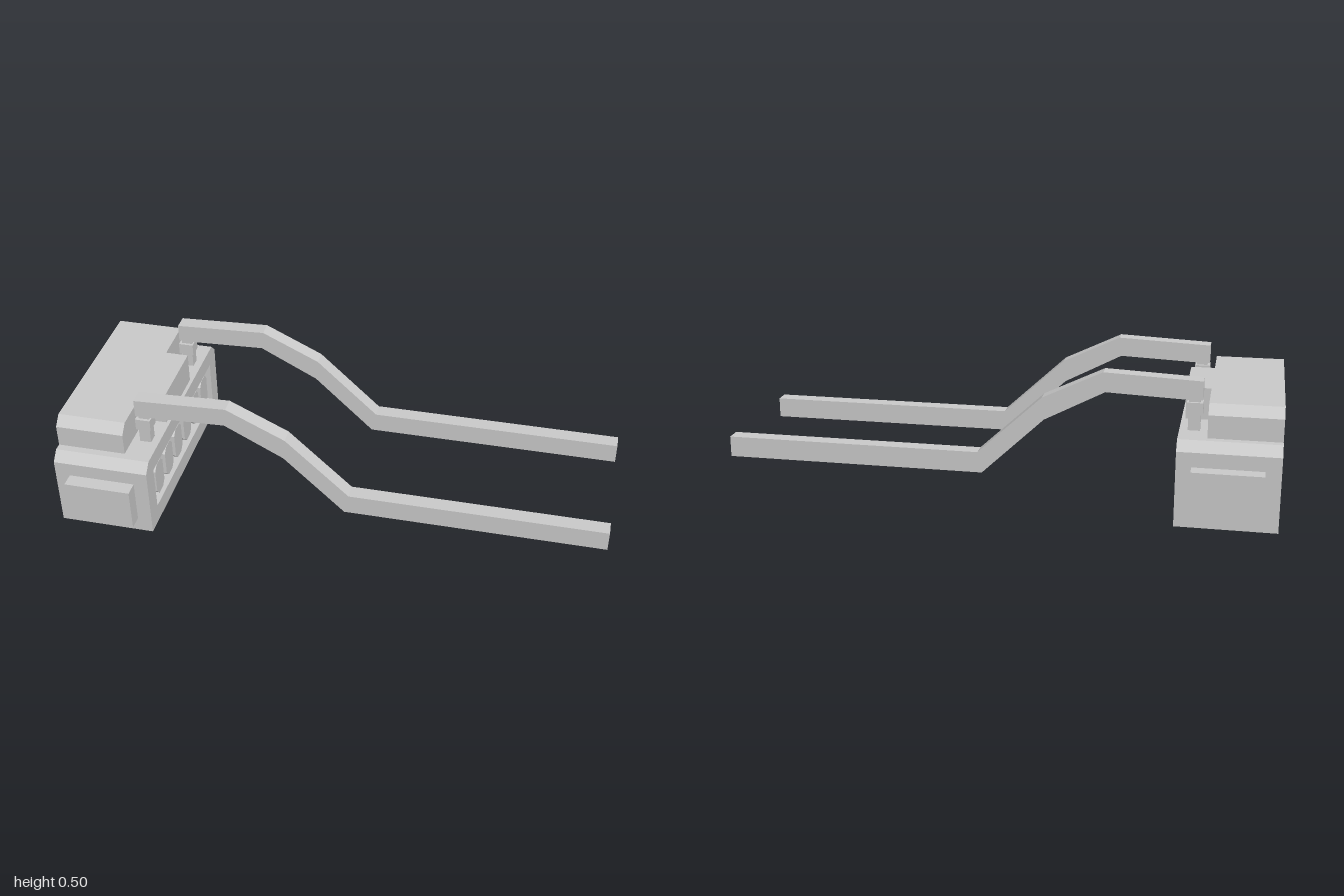
import * as THREE from 'three';

const material = new THREE.MeshStandardMaterial({ color: 0xcccccc, flatShading: true });

function polygon(points) {
  return new THREE.Shape(points.map(([x, y]) => new THREE.Vector2(x, y)));
}

function add(parent, name, geometry) {
  const mesh = new THREE.Mesh(geometry, material);
  mesh.name = name;
  parent.add(mesh);
  return mesh;
}

// Box given by its min and max on each axis
function addBox(parent, name, [x0, x1], [y0, y1], [z0, z1]) {
  const mesh = add(parent, name, new THREE.BoxGeometry(x1 - x0, y1 - y0, z1 - z0));
  mesh.position.set((x0 + x1) / 2, (y0 + y1) / 2, (z0 + z1) / 2);
  return mesh;
}

// Extrude a (z, y) outline along x
function addAlongX(parent, name, shape, x0, x1) {
  const geometry = new THREE.ExtrudeGeometry(shape, { depth: x1 - x0, bevelEnabled: false });
  geometry.rotateY(Math.PI / 2).translate(x0, 0, 0);
  return add(parent, name, geometry);
}

// Block outline with both top corners cut off
function chamferedOutline(half, bottom, top, cut) {
  return polygon([
    [-half, bottom], [half, bottom], [half, top - cut],
    [half - cut, top], [-half + cut, top], [-half, top - cut],
  ]);
}

export function createModel() {
  const model = new THREE.Group();
  model.name = 'connector';

  // Housing: solid rear and a front frame around the recess
  const housing = new THREE.Group();
  housing.name = 'housing';
  model.add(housing);
  const recessFloor = -0.71, face = -0.647;
  addAlongX(housing, 'housingRear', chamferedOutline(0.415, 0, 0.303, 0.034), -1, recessFloor);
  const frame = chamferedOutline(0.415, 0, 0.303, 0.034);
  frame.holes.push(polygon([[-0.346, 0.068], [-0.346, 0.238], [0.346, 0.238], [0.346, 0.068]]));
  addAlongX(housing, 'housingFrame', frame, recessFloor, face);

  // Upper block with its middle tongue
  addAlongX(housing, 'upperBlock', chamferedOutline(0.353, 0.303, 0.418, 0.034), -1, -0.747);
  addBox(housing, 'tongue', [-0.747, -0.66], [0.303, 0.418], [-0.141, 0.141]);

  // Six octagonal contacts in the recess
  const w = 0.04, h = 0.066, c = 0.02;
  const contact = polygon([
    [-w, -h + c], [-w + c, -h], [w - c, -h], [w, -h + c],
    [w, h - c], [w - c, h], [-w + c, h], [-w, h - c],
  ]);
  for (let i = 0; i < 6; i++) {
    const mesh = addAlongX(model, 'contact', contact, recessFloor, -0.655);
    mesh.position.set(0, 0.153, (i - 2.5) * 0.109);
  }

  // Raised pads on both ends
  for (const side of [-1, 1]) {
    addBox(model, 'endPad', [-0.945, -0.7], [0.056, 0.217], side > 0 ? [0.41, 0.468] : [-0.468, -0.41]);
  }

  // Bent lead outline, (x, y)
  const lead = polygon([
    [-0.725, 0.417], [-0.666, 0.417], [-0.39, 0.428], [-0.176, 0.316], [0.048, 0.104], [1, 0.104],
    [1, 0.18], [0.064, 0.18], [-0.168, 0.396], [-0.382, 0.499], [-0.725, 0.484],
  ]);
  for (const [z, postZ] of [[0.214, 0.248], [-0.293, -0.256]]) {
    const geometry = new THREE.ExtrudeGeometry(lead, { depth: 0.057, bevelEnabled: false });
    add(model, 'lead', geometry.translate(0, 0, z));

    // Post carrying the lead: stem, collar and neck
    const post = new THREE.Group();
    post.name = 'post';
    post.position.z = postZ;
    model.add(post);
    addBox(post, 'stem', [-0.718, -0.676], [0.303, 0.362], [-0.02, 0.02]);
    addBox(post, 'collar', [-0.726, -0.67], [0.36, 0.404], [-0.027, 0.027]);
    addBox(post, 'neck', [-0.716, -0.676], [0.404, 0.43], [-0.016, 0.016]);
  }

  return model;
}
